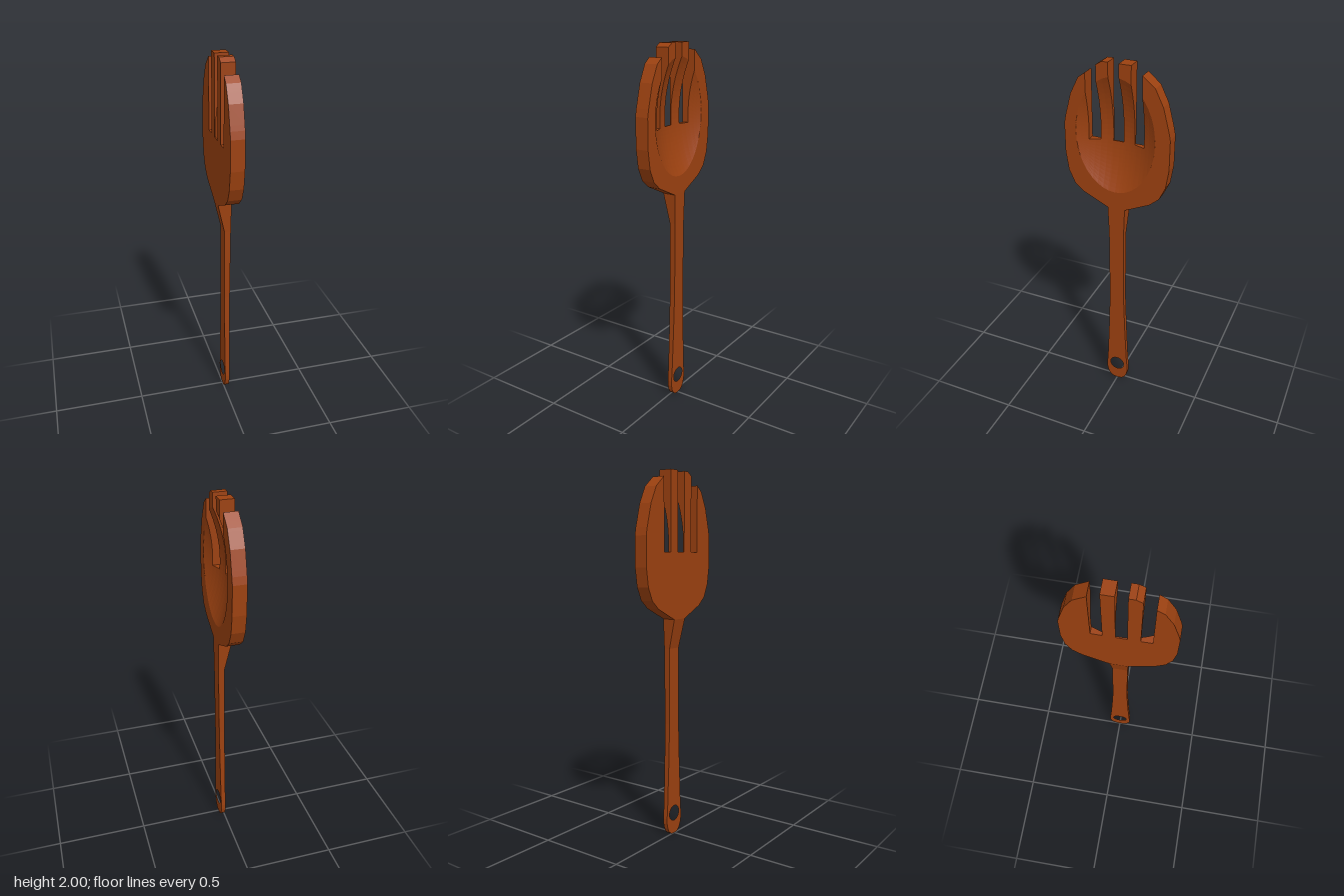
import * as THREE from 'three';

const HALF = 0.037;                      // half thickness of the head
const SLOT_Y = 1.578;                    // root of the tines
const SLOTS = [[-0.135, -0.078], [-0.015, 0.041], [0.105, 0.162]];
const BOWL = { z: 0.007, y: 1.625, rz: 0.213, ry: 0.307, depth: 0.069 };

// head outline as [z, y] points
const TOP = [[-0.283, 1.66], [-0.275, 1.7], [-0.243, 1.82], [-0.2, 1.906], [-0.135, 1.96], [-0.078, 2],
  [0.074, 2], [0.105, 1.98], [0.162, 1.935], [0.2, 1.906], [0.243, 1.82], [0.275, 1.7], [0.283, 1.66]];
const BOTTOM = [[-0.283, 1.5], [-0.268, 1.4], [-0.236, 1.33], [-0.185, 1.286], [-0.048, 1.222],
  [0.048, 1.222], [0.185, 1.286], [0.236, 1.33], [0.268, 1.4], [0.283, 1.5]];

function along(line, z) {
  for (let i = 1; i < line.length; i++) {
    const [z0, y0] = line[i - 1], [z1, y1] = line[i];
    if (z <= z1 + 1e-9) return y0 + (y1 - y0) * (z - z0) / (z1 - z0);
  }
  return line[line.length - 1][1];
}

// front surface: flat rim with a shallow elliptical bowl
function frontX(z, y) {
  const u = (z - BOWL.z) / BOWL.rz, v = (y - BOWL.y) / BOWL.ry;
  return HALF - BOWL.depth * Math.max(0, 1 - u * u - v * v);
}

// column positions: outline corners, slot edges and bowl facets
function columns(from, to) {
  const all = [from, to, ...TOP.map(p => p[0]), ...BOTTOM.map(p => p[0]), ...SLOTS.flat()];
  for (let k = 0; k <= 20; k++) all.push(BOWL.z + BOWL.rz * Math.cos(Math.PI * k / 20));
  return all.filter(z => z >= from && z <= to).sort((a, b) => a - b)
    .filter((z, i, list) => i === 0 || z - list[i - 1] > 1e-6);
}

// solid slab between two outlines, with the bowl sunk into its front
function slab(from, to, low, high, hasTop, hasBottom) {
  const pos = [];
  const tri = (a, b, c) => {
    const area = new THREE.Triangle(a, b, c).getArea();
    if (area > 1e-9) for (const p of [a, b, c]) pos.push(p.x, p.y, p.z);
  };
  const quad = (a, b, c, d) => { tri(a, b, c); tri(a, c, d); };
  const steps = 12;
  const cols = columns(from, to).map(z => {
    const lo = low(z), hi = high(z);
    const u = (z - BOWL.z) / BOWL.rz;
    const h = BOWL.ry * Math.sqrt(Math.max(0, 1 - u * u));
    const e0 = THREE.MathUtils.clamp(BOWL.y - h, lo, hi);
    const e1 = THREE.MathUtils.clamp(BOWL.y + h, lo, hi);
    const ys = [lo];
    for (let k = 0; k <= steps; k++) ys.push(e0 + (e1 - e0) * k / steps);
    ys.push(hi);
    return {
      z,
      front: ys.map(y => new THREE.Vector3(frontX(z, y), y, z)),
      back: ys.map(y => new THREE.Vector3(-HALF, y, z)),
    };
  });
  const n = steps + 2;
  for (let i = 0; i + 1 < cols.length; i++) {
    const a = cols[i], b = cols[i + 1];
    for (let j = 0; j < n; j++) quad(a.front[j], a.front[j + 1], b.front[j + 1], b.front[j]);
    quad(a.back[0], b.back[0], b.back[n], a.back[n]);
    if (hasBottom) quad(a.back[0], a.front[0], b.front[0], b.back[0]);
    if (hasTop((a.z + b.z) / 2)) quad(a.back[n], b.back[n], b.front[n], a.front[n]);
  }
  const first = cols[0], last = cols[cols.length - 1];
  for (let j = 0; j < n; j++) {
    quad(last.back[j], last.front[j], last.front[j + 1], last.back[j + 1]);
    quad(first.back[j], first.back[j + 1], first.front[j + 1], first.front[j]);
  }
  const geo = new THREE.BufferGeometry();
  geo.setAttribute('position', new THREE.Float32BufferAttribute(pos, 3));
  geo.computeVertexNormals();
  return geo;
}

// handle front leans slightly: thicker toward the head
const handleFront = y => 0.025 + 0.0095 * y;

function handleGeometry() {
  const side = [[0.042, 1.06], [0.042, 0.64], [0.05, 0.4], [0.06, 0.18], [0.066, 0.1], [0.065, 0.07],
    [0.058, 0.04], [0.046, 0.018], [0.03, 0.005], [0.015, 0]];
  const outline = [...side, ...side.map(([z, y]) => [-z, y]).reverse()];
  const shape = new THREE.Shape(outline.map(([z, y]) => new THREE.Vector2(z, y)));
  const hole = new THREE.Path();
  hole.absarc(0, 0.118, 0.043, 0, Math.PI * 2, true);
  shape.holes.push(hole);
  const geo = new THREE.ExtrudeGeometry(shape, { depth: 1, bevelEnabled: false, curveSegments: 24 });
  const p = geo.attributes.position;
  for (let i = 0; i < p.count; i++) p.setZ(i, p.getZ(i) * handleFront(p.getY(i)));
  geo.rotateY(Math.PI / 2);
  geo.computeVertexNormals();
  return geo;
}

// wedge that thickens the handle up to the head
function neckGeometry() {
  const geo = new THREE.BoxGeometry(1, 1, 1);
  const p = geo.attributes.position;
  for (let i = 0; i < p.count; i++) {
    const up = p.getY(i) > 0, y = up ? 1.222 : 1.06;
    const x = p.getX(i) > 0 ? (up ? HALF : handleFront(y)) : (up ? -HALF : 0);
    p.setXYZ(i, x, y, Math.sign(p.getZ(i)) * (up ? 0.048 : 0.042));
  }
  geo.computeVertexNormals();
  return geo;
}

export function createModel() {
  const group = new THREE.Group();
  group.name = 'servingFork';
  const wood = new THREE.MeshStandardMaterial({ color: 0x9c4110, flatShading: true });
  const add = (name, geo) => {
    const mesh = new THREE.Mesh(geo, wood);
    mesh.name = name;
    group.add(mesh);
  };

  // lower bowl, closed on top only where the slots end
  const inSlot = z => SLOTS.some(([a, b]) => z > a && z < b);
  add('bowl', slab(-0.283, 0.283, z => along(BOTTOM, z), () => SLOT_Y, inSlot, true));

  // four tines between the slots
  const edges = [-0.283, ...SLOTS.flat(), 0.283];
  for (let i = 0; i < edges.length; i += 2) {
    add(`tine${i / 2 + 1}`, slab(edges[i], edges[i + 1], () => SLOT_Y, z => along(TOP, z), () => true, false));
  }

  add('neck', neckGeometry());
  add('handle', handleGeometry());
  return group;
}
